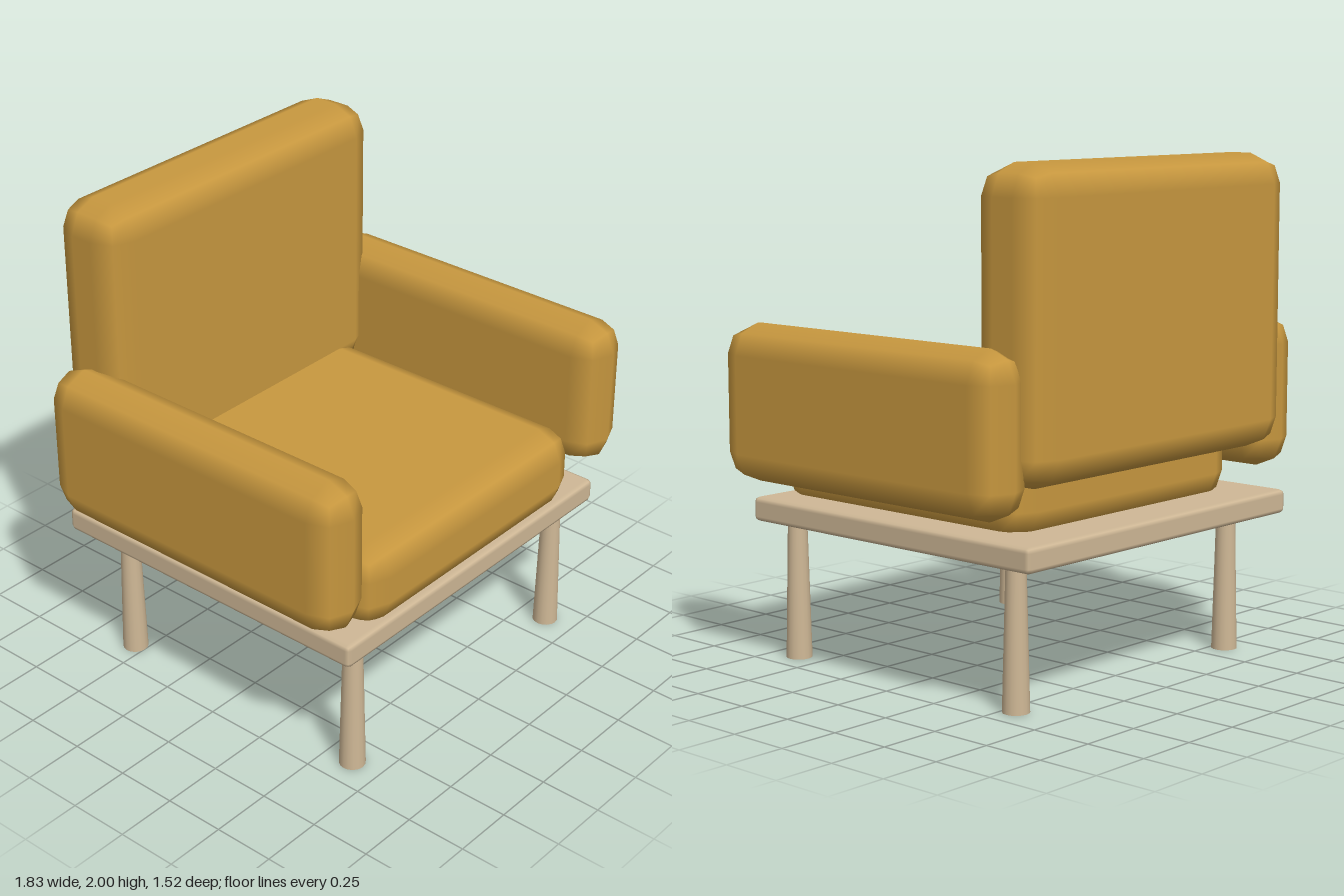
import * as THREE from 'three';
import { RoundedBoxGeometry } from 'three/addons/geometries/RoundedBoxGeometry.js';

export function createModel() {
  const group = new THREE.Group();
  group.name = 'armchair';

  const fabric = new THREE.MeshStandardMaterial({ color: 0xc8983f });
  fabric.name = 'mustard fabric';
  const wood = new THREE.MeshStandardMaterial({ color: 0xcfb896 });
  wood.name = 'pale wood';

  const add = (name, geometry, material, x, y, z) => {
    const mesh = new THREE.Mesh(geometry, material);
    mesh.name = name;
    mesh.position.set(x, y, z);
    group.add(mesh);
  };

  // Coarsely rounded block given by its size: one bevel step, smooth normals
  const block = (w, h, d, radius) => new RoundedBoxGeometry(w, h, d, 1, radius);

  // Cushions
  add('seatCushion', block(1.29, 0.34, 1.29, 0.115), fabric, 0, 0.787, 0.072);
  add('backCushion', block(1.5, 1.16, 0.33, 0.118), fabric, 0, 1.42, -0.595);

  // Wooden platform
  add('basePlatform', block(1.54, 0.097, 1.46, 0.02), wood, 0, 0.609, -0.01);

  // Armrests and tapered legs, mirrored left and right
  const armGeometry = block(0.245, 0.62, 1.455, 0.118);
  const legGeometry = new THREE.CylinderGeometry(0.038, 0.052, 0.57, 16);
  for (const [side, s] of [['left', 1], ['right', -1]]) {
    add(side + 'Armrest', armGeometry, fabric, s * 0.792, 1.045, 0.032);
    add(side + 'FrontLeg', legGeometry, wood, s * 0.627, 0.285, 0.62);
    add(side + 'BackLeg', legGeometry, wood, s * 0.627, 0.285, -0.55);
  }

  return group;
}
